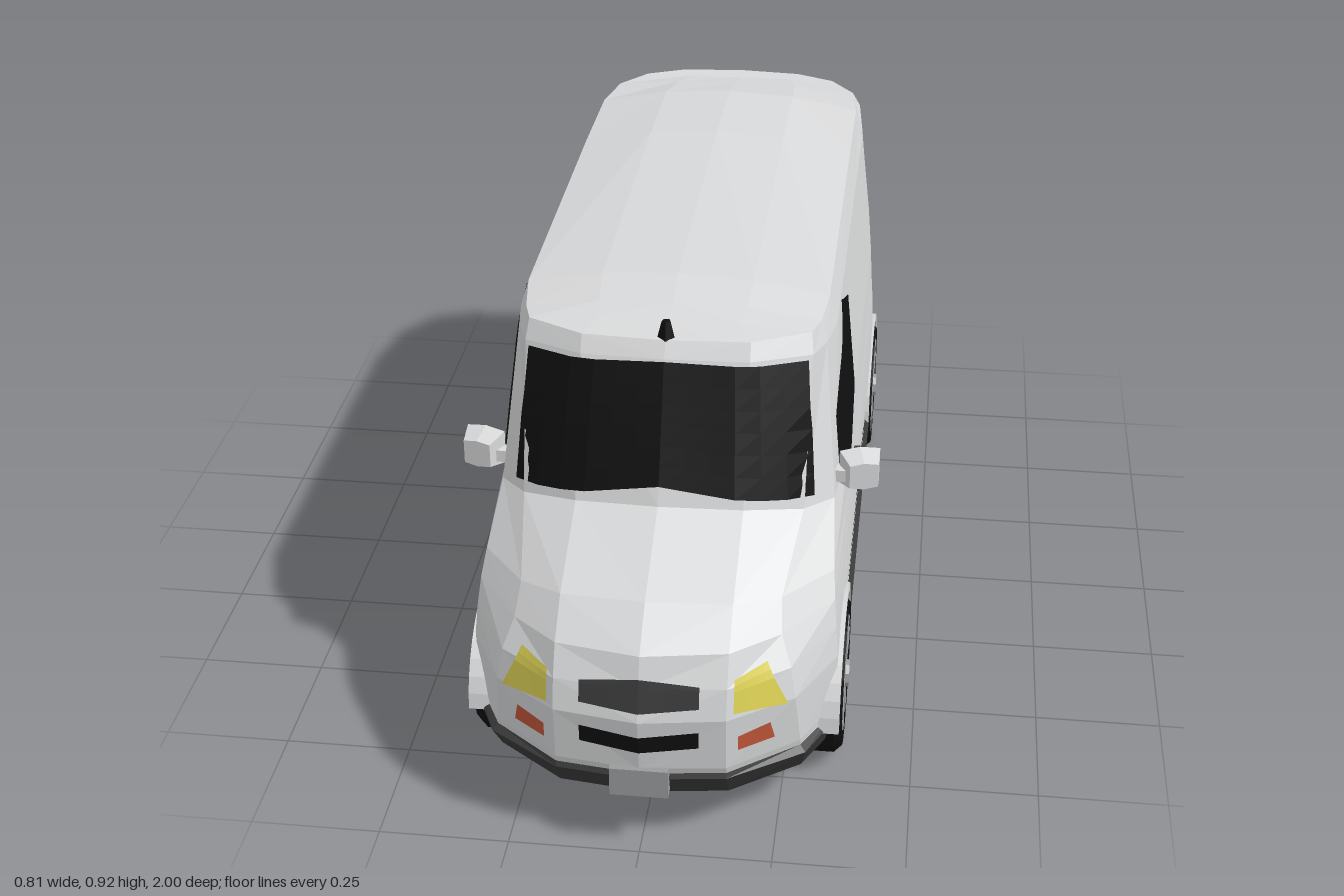
import * as THREE from 'three';

const mat = (name, color) => new THREE.MeshStandardMaterial({ name, color, side: THREE.DoubleSide });

export function createModel() {
  const van = new THREE.Group();
  van.name = 'van';
  const paint = mat('body paint', 0xd8d9da), trim = mat('dark trim', 0x3a3a3a), black = mat('black', 0x101010);
  const yellow = mat('headlight yellow', 0xdbd055), orange = mat('lamp orange', 0xc4573a), grey = mat('metal grey', 0x9a9b9c);

  // Faceted mesh helper
  const add = (name, geo, material, parent = van) => {
    const g = geo.index ? geo.toNonIndexed() : geo;
    g.computeVertexNormals();
    const m = new THREE.Mesh(g, material);
    m.name = name;
    parent.add(m);
    return m;
  };
  const box = (name, w, h, d, x, y, z, material, parent) => {
    const m = add(name, new THREE.BoxGeometry(w, h, d), material, parent);
    m.position.set(x, y, z);
    return m;
  };

  // Body rings: y, front crown, z0, z1, x2, z2, x3, z3, half width, rear z
  const rings = [
    [0.10, 0, 0.945, 0.925, 0.29, 0.83, 0.345, 0.72, 0.345, -0.95],
    [0.160, 0, 0.985, 0.965, 0.30, 0.87, 0.360, 0.74, 0.360, -0.975],
    [0.170, 0, 0.980, 0.960, 0.29, 0.86, 0.350, 0.74, 0.350, -0.970],
    [0.185, 0, 0.985, 0.965, 0.29, 0.865, 0.350, 0.74, 0.350, -0.972],
    [0.300, 0, 1.000, 0.975, 0.28, 0.89, 0.350, 0.75, 0.355, -0.985],
    [0.360, 0, 0.980, 0.960, 0.27, 0.88, 0.345, 0.74, 0.353, -0.983],
    [0.410, 0.01, 0.960, 0.930, 0.25, 0.85, 0.340, 0.72, 0.350, -0.975],
    [0.450, 0.035, 0.880, 0.860, 0.245, 0.80, 0.335, 0.68, 0.347, -0.970],
    [0.530, 0.045, 0.695, 0.675, 0.27, 0.62, 0.325, 0.55, 0.342, -0.962],
    [0.820, 0.01, 0.585, 0.575, 0.275, 0.52, 0.297, 0.46, 0.312, -0.915],
    [0.860, 0, 0.565, 0.555, 0.27, 0.50, 0.285, 0.45, 0.295, -0.895],
  ].map(([y, c, z0, z1, x2, z2, x3, z3, w, zr]) => [
    [0, y + c, z0], [0.16, y + c * 0.8, z1], [x2, y + c * 0.3, z2], [x3, y, z3],
    [w, y, 0.37], [w, y, -0.33], [w, y, -0.6], [w - 0.015, y, zr + 0.14],
    [w - 0.07, y, zr + 0.05], [0.14, y, zr + 0.012], [0, y, zr],
  ].map((p) => new THREE.Vector3(...p)));
  const COLS = 10, top = rings[rings.length - 1];
  const bump = [0, 0, 0, 0, 0.015, 0.02, 0.015, -0.002, -0.008, -0.008, -0.008];
  top.forEach((p, i) => { p.y += bump[i]; });
  const crown = [0, 0.002, 0.012, 0.025, 0.03, 0.04, 0.035, 0.015, 0, 0, 0];
  const scaled = (ring, s, lift) => ring.map((p, i) => new THREE.Vector3(p.x * s, p.y + lift * crown[i], p.z));

  // Mirrored skin between successive rings
  const skin = (name, rows, material, skip = () => false) => {
    const pos = [];
    for (let r = 0; r < rows.length - 1; r++) for (let c = 0; c < COLS; c++) {
      if (skip(r, c)) continue;
      const a = rows[r][c], b = rows[r][c + 1], e = rows[r + 1][c + 1], d = rows[r + 1][c];
      for (const p of [a, b, e, a, e, d]) pos.push(p.x, p.y, p.z);
      for (const p of [a, e, b, a, d, e]) pos.push(-p.x, p.y, p.z);
    }
    const g = new THREE.BufferGeometry();
    g.setAttribute('position', new THREE.Float32BufferAttribute(pos, 3));
    return add(name, g, material);
  };
  skin('floor', [scaled(rings[0], 0, 0), rings[0]], black);
  skin('sill and front bumper', rings.slice(0, 3), trim);
  skin('bodyShell', rings.slice(2), paint, (r, c) => r === 1 && c === 4);
  skin('roof', [top, scaled(top, 0.5, 0.78), scaled(top, 0, 1)], paint);

  // Open passage through the lower sides
  box('passage floor', 0.7, 0.004, 0.7, 0, 0.183, 0.02, trim);
  box('passage ceiling', 0.7, 0.004, 0.7, 0, 0.302, 0.02, black);
  for (const z of [0.372, -0.332]) box('passage end', 0.69, 0.115, 0.004, 0, 0.2425, z, paint);

  // Point on the shell at fractional row and column
  const point = (r, c) => {
    const i = Math.min(Math.floor(r), rings.length - 2), j = Math.min(Math.floor(c), COLS - 1);
    const lo = rings[i][j].clone().lerp(rings[i][j + 1], c - j);
    return lo.lerp(rings[i + 1][j].clone().lerp(rings[i + 1][j + 1], c - j), r - i);
  };
  const bisect = (lo, hi, below) => {
    for (let k = 0; k < 30; k++) { const m = (lo + hi) / 2; if (below(m)) lo = m; else hi = m; }
    return (lo + hi) / 2;
  };
  const zones = { front: [0, 3.9, 'x', 1], side: [3, 7, 'z', -1], rear: [6, 10, 'x', -1] };
  const locate = (zone, s, y, off) => {
    const [lo, hi, axis, dir] = zones[zone];
    const flip = axis === 'x' && s < 0 ? -1 : 1;
    const row = (c) => bisect(0, rings.length - 1, (r) => point(r, c).y < y);
    const c = bisect(lo, hi, (m) => (point(row(m), m)[axis] - s * flip) * dir < 0);
    const r = row(c), p = point(r, c), e = 0.01;
    const du = point(r, Math.min(c + e, COLS)).sub(point(r, Math.max(c - e, 0)));
    const dv = point(Math.min(r + e, 10), c).sub(point(Math.max(r - e, 0), c));
    p.addScaledVector(du.cross(dv).normalize(), off);
    p.x *= flip;
    return p;
  };
  const along = (line, t) => {
    const f = t * (line.length - 1), i = Math.min(Math.floor(f), line.length - 2);
    return line[i].map((v, k) => v + (line[i + 1][k] - v) * (f - i));
  };
  // Thin panel laid on the shell between a lower and an upper line
  const panel = (name, zone, low, high, material, { off = 0.005, bevel = false, mirror = false } = {}) => {
    const nu = 12, nv = 6, pos = [], idx = [];
    for (let j = 0; j <= nv; j++) for (let i = 0; i <= nu; i++) {
      const a = along(low, i / nu), b = along(high, i / nu), v = j / nv;
      const p = locate(zone, a[0] + (b[0] - a[0]) * v, a[1] + (b[1] - a[1]) * v, bevel && (j === 0 || j === nv) ? 0 : off);
      pos.push(mirror ? -p.x : p.x, p.y, p.z);
      if (i < nu && j < nv) {
        const k = j * (nu + 1) + i, n = k + nu + 1;
        const flip = (zone === 'rear') !== mirror;
        idx.push(...(flip ? [k, n + 1, k + 1, k, n, n + 1] : [k, k + 1, n + 1, k, n + 1, n]));
      }
    }
    const g = new THREE.BufferGeometry();
    g.setAttribute('position', new THREE.Float32BufferAttribute(pos, 3));
    g.setIndex(idx);
    add(name, g, material);
  };

  // Front details
  panel('windscreen', 'front', [[-0.285, 0.56], [0, 0.61], [0.285, 0.56]], [[-0.265, 0.815], [0, 0.826], [0.265, 0.815]], black);
  panel('upper grille', 'front', [[-0.11, 0.325], [0, 0.318], [0.11, 0.325]], [[-0.11, 0.365], [0, 0.38], [0.11, 0.365]], trim);
  panel('lower grille', 'front', [[-0.11, 0.24], [0, 0.23], [0.11, 0.24]], [[-0.11, 0.278], [0, 0.268], [0.11, 0.278]], black);
  box('front plate', 0.11, 0.06, 0.025, 0, 0.158, 0.982, grey);

  // Rear details
  panel('rear bumper', 'rear', [[-0.338, 0.11], [0, 0.11], [0.338, 0.11]], [[-0.338, 0.225], [0, 0.215], [0.338, 0.225]], trim, { off: 0.012, bevel: true });
  box('rear step', 0.14, 0.025, 0.03, 0, 0.155, -0.985, grey);
  box('rear handle', 0.11, 0.018, 0.016, 0, 0.335, -0.991, trim);

  // Paired details
  for (const mirror of [false, true]) {
    const s = mirror ? -1 : 1, o = { mirror };
    panel('headlight', 'front', [[0.17, 0.312], [0.265, 0.298]], [[0.17, 0.373], [0.225, 0.384]], yellow, o);
    panel('front indicator', 'front', [[0.178, 0.225], [0.242, 0.225]], [[0.178, 0.258], [0.234, 0.266]], orange, o);
    panel('door window', 'side', [[0.5, 0.56], [0.363, 0.525], [0.17, 0.575]], [[0.48, 0.67], [0.294, 0.828], [0.16, 0.775]], black, o);
    panel('rear window', 'rear', [[0.028, 0.47], [0.272, 0.49]], [[0.028, 0.83], [0.238, 0.815]], black, o);
    panel('tail lamp', 'rear', [[0.17, 0.315], [0.287, 0.32]], [[0.17, 0.41], [0.284, 0.42]], orange, o);
    box('door handle', 0.025, 0.032, 0.105, s * 0.352, 0.427, 0.25, trim);
    box('chassis rail', 0.05, 0.03, 0.55, s * 0.12, 0.097, -0.5, grey);

    // Wing mirror: tapered head on a short arm
    const head = new THREE.BoxGeometry(0.08, 0.082, 0.045, 2, 1, 1);
    const hp = head.attributes.position;
    for (let i = 0; i < hp.count; i++) {
      const k = hp.getZ(i) > 0 ? 0.7 : 1, outer = Math.abs(hp.getX(i)) > 0.02 ? 0.85 : 1;
      hp.setXYZ(i, hp.getX(i) * k, hp.getY(i) * k * outer, hp.getZ(i));
    }
    const wing = add('wing mirror', head, paint);
    wing.position.set(s * 0.374, 0.568, 0.508);
    wing.rotation.y = s * 0.25;
    box('mirror arm', 0.06, 0.025, 0.025, s * 0.325, 0.56, 0.508, paint);
  }

  // Roof aerial
  add('aerial', new THREE.CylinderGeometry(0.009, 0.018, 0.035, 5), black).position.set(0, 0.876, 0.55);

  // Wheels with arches
  const archShape = (outer, inner) => {
    const sh = new THREE.Shape().absarc(0, 0, outer, 0, Math.PI, false);
    if (inner) sh.absarc(0, 0, inner, Math.PI, 0, true);
    return new THREE.ExtrudeGeometry(sh, { depth: 0.1, bevelEnabled: false, curveSegments: 8 }).scale(1, 0.85, 1);
  };
  for (const s of [1, -1]) for (const z of [0.605, -0.595]) {
    const wheel = new THREE.Group();
    wheel.name = 'wheel';
    wheel.position.set(s * 0.317, 0.157, z);
    wheel.rotation.y = s * Math.PI / 2;
    van.add(wheel);
    add('wheel arch', archShape(0.2, 0.18), paint, wheel).position.z = -0.058;
    add('arch liner', archShape(0.181), black, wheel).position.z = -0.062;
    const tyreProfile = [[0.115, 0.042], [0.142, 0.046], [0.157, 0.03], [0.157, -0.03], [0.142, -0.042], [0.001, -0.042]];
    const tyre = new THREE.LatheGeometry(tyreProfile.map(([a, b]) => new THREE.Vector2(a, b)).reverse(), 18).rotateX(Math.PI / 2);
    add('tyre', tyre, black, wheel);
    add('wheel disc', new THREE.CylinderGeometry(0.118, 0.118, 0.01, 18).rotateX(Math.PI / 2), trim, wheel).position.z = 0.037;
    add('hub', new THREE.CylinderGeometry(0.026, 0.032, 0.016, 9).rotateX(Math.PI / 2), grey, wheel).position.z = 0.044;
    for (let i = 0; i < 9; i++) {
      const spoke = new THREE.CylinderGeometry(0.025, 0.013, 0.09, 4, 1).rotateY(Math.PI / 4).scale(0.9, 1, 0.15);
      add('spoke', spoke.translate(0, 0.069, 0.043).rotateZ((i * Math.PI * 2) / 9), grey, wheel);
    }
  }
  return van;
}
